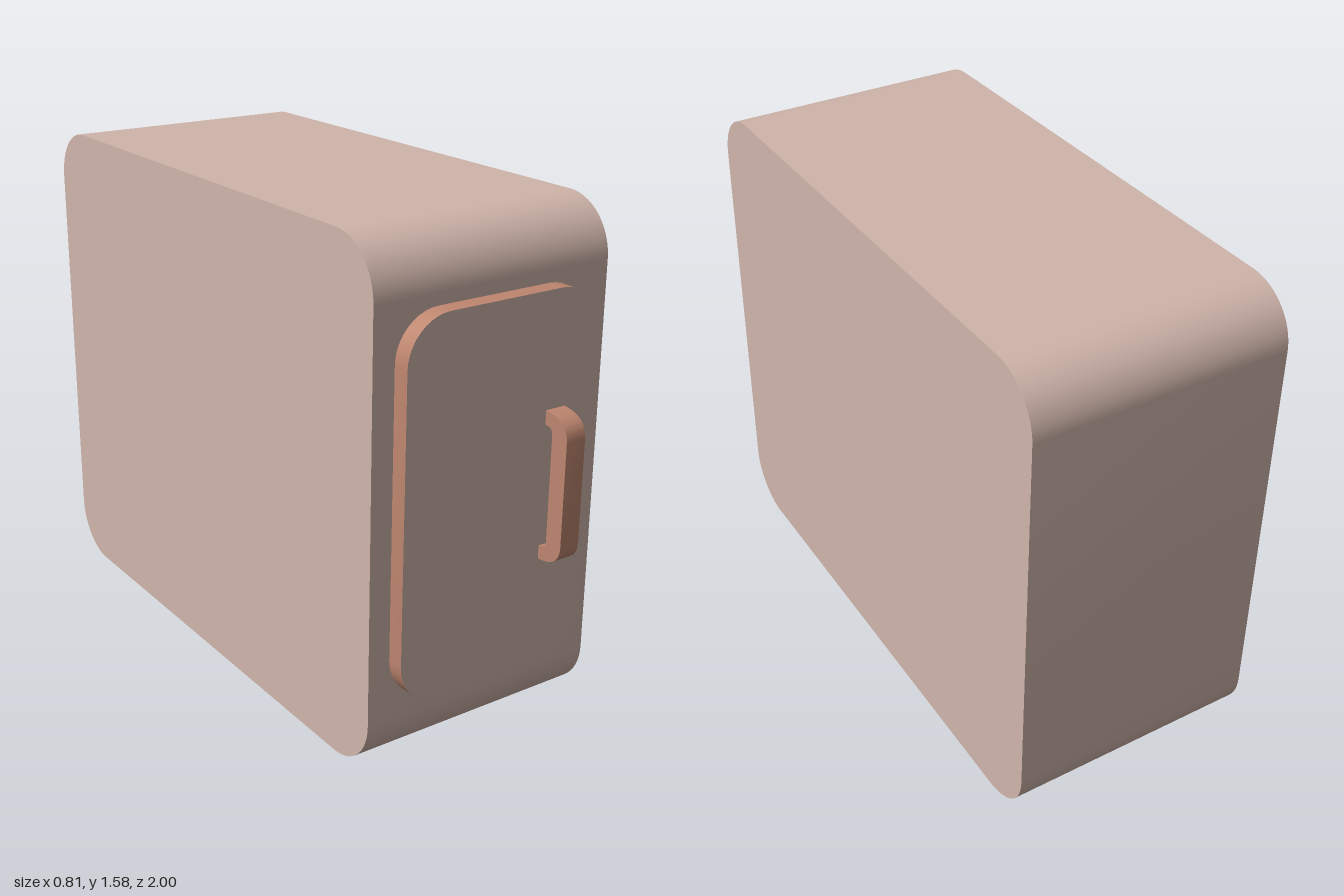
import * as THREE from 'three';
import { toCreasedNormals } from 'three/addons/utils/BufferGeometryUtils.js';

const shellPaint = new THREE.MeshStandardMaterial({ color: 0xd0b5ab });
shellPaint.name = 'pale shell';
const copper = new THREE.MeshStandardMaterial({ color: 0xbe866f });
copper.name = 'copper trim';

// Rounded rectangle outline between two corners
function roundedRect(x0, y0, x1, y1, r) {
  const s = new THREE.Shape();
  s.absarc(x1 - r, y0 + r, r, -Math.PI / 2, 0);
  s.absarc(x1 - r, y1 - r, r, 0, Math.PI / 2);
  s.absarc(x0 + r, y1 - r, r, Math.PI / 2, Math.PI);
  s.absarc(x0 + r, y0 + r, r, Math.PI, Math.PI * 1.5);
  s.closePath();
  return s;
}

// Extrusion with smooth corners and sharp rims
function slab(shape, depth, curveSegments) {
  const g = new THREE.ExtrudeGeometry(shape, { depth, bevelEnabled: false, curveSegments });
  return toCreasedNormals(g, 0.7);
}

function addPart(group, name, geometry, material) {
  const mesh = new THREE.Mesh(geometry, material);
  mesh.name = name;
  group.add(mesh);
}

export function createModel() {
  const group = new THREE.Group();
  group.name = 'cabinet';

  // Body: side profile drawn in (-z, y), swept across the width
  const body = slab(roundedRect(-0.855, 0, 1, 1.58, 0.17), 0.81, 8);
  body.rotateY(Math.PI / 2).translate(-0.405, 0, 0);
  addPart(group, 'body', body, shellPaint);

  // Door: pale face with copper edge
  const door = slab(roundedRect(-0.334, 0.22, 0.33, 1.375, 0.14), 0.055, 5);
  door.translate(0, 0, 0.855);
  addPart(group, 'door', door, [shellPaint, copper]);

  // Handle: C-shaped bracket profile in (-z, y)
  const c = new THREE.Shape();
  c.moveTo(-0.91, 0.565);
  c.lineTo(-0.91, 0.607);
  c.lineTo(-0.925, 0.61);
  c.quadraticCurveTo(-0.94, 0.612, -0.94, 0.632);
  c.lineTo(-0.94, 0.958);
  c.quadraticCurveTo(-0.94, 0.978, -0.925, 0.98);
  c.lineTo(-0.91, 0.983);
  c.lineTo(-0.91, 1.025);
  c.lineTo(-0.935, 1.022);
  c.bezierCurveTo(-0.975, 1.016, -1, 0.995, -1, 0.955);
  c.lineTo(-1, 0.635);
  c.bezierCurveTo(-1, 0.595, -0.975, 0.574, -0.935, 0.568);
  c.closePath();
  const handle = slab(c, 0.068, 6);
  handle.rotateY(Math.PI / 2).translate(0.154, 0, 0);
  addPart(group, 'handle', handle, copper);

  return group;
}
